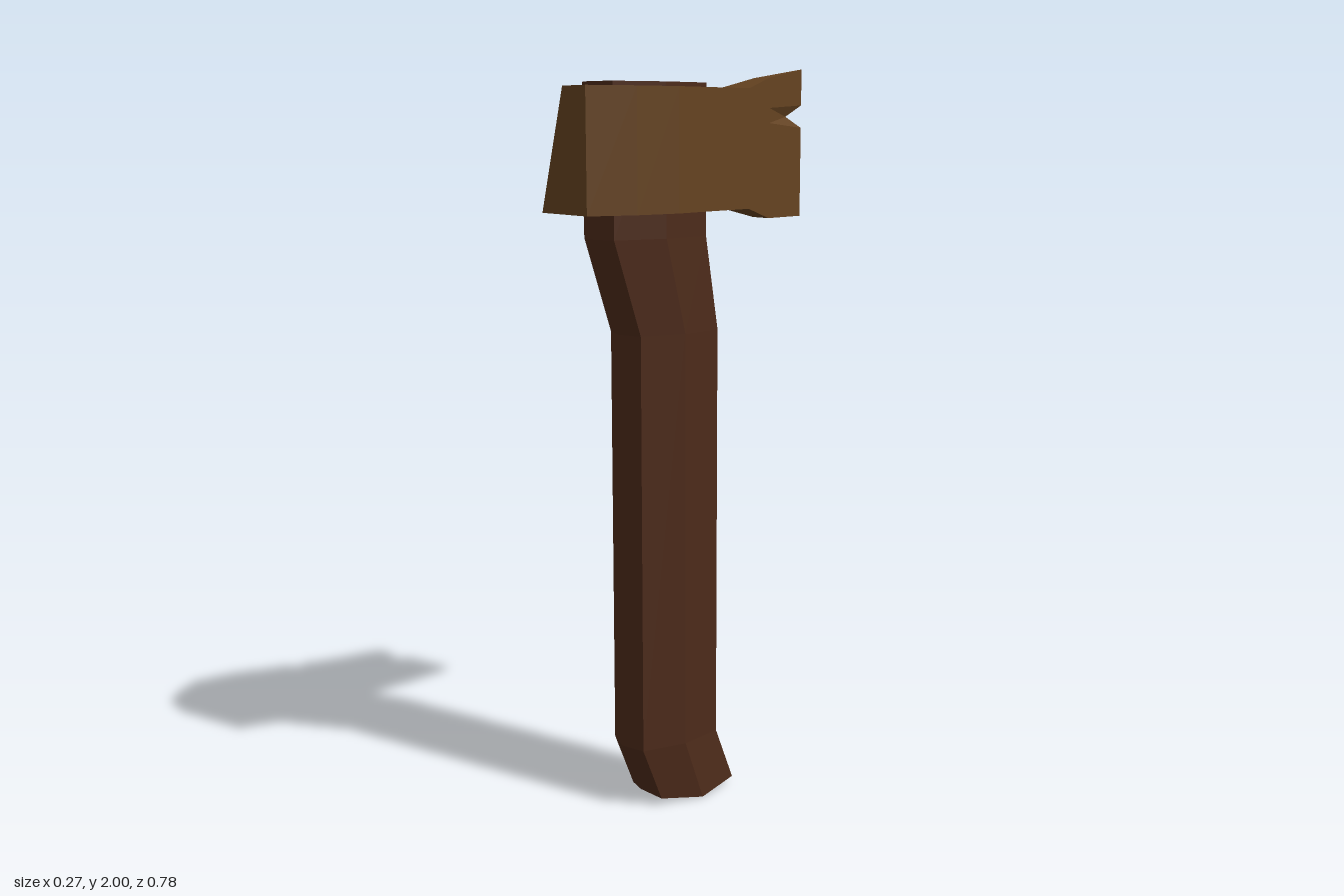
import * as THREE from 'three';

const V = (x, y, z) => [x, y, z];

// Collects flat polygons (fanned from their first corner) into one geometry
function polyBuilder() {
  const pos = [];
  return {
    add(pts, flip = false) {
      for (let i = 1; i < pts.length - 1; i++) {
        const tri = flip ? [pts[0], pts[i + 1], pts[i]] : [pts[0], pts[i], pts[i + 1]];
        tri.forEach(p => pos.push(...p));
      }
    },
    build() {
      const g = new THREE.BufferGeometry();
      g.setAttribute('position', new THREE.Float32BufferAttribute(pos, 3));
      g.computeVertexNormals();
      return g;
    },
  };
}

function headGeometry() {
  const b = polyBuilder();
  // sections from poll to cutting edge: z, half width, bottom, top
  const S = [
    [0.39, 0.103, 1.63, 1.945], [0.26, 0.135, 1.63, 1.945], [0.13, 0.135, 1.63, 1.945],
    [0, 0.102, 1.63, 1.945], [-0.15, 0.07, 1.63, 1.945], [-0.25, 0.033, 1.6, 1.975],
    [-0.392, 0, 1.6, 2],
  ];
  const bot = (i, s) => V(s * S[i][1], S[i][2], S[i][0]);
  const top = (i, s) => (i === 0 && s < 0
    ? V(-0.08, 1.945, 0.33) // chipped poll corner
    : V(s * S[i][1], S[i][3], S[i][0]));

  // nick in the upper edge of one cheek
  const n1 = V(-0.078, 1.945, -0.115), n2 = V(-0.093, 1.945, -0.04);
  const nIn = V(-0.06, 1.945, -0.075), nLow = V(-0.078, 1.87, -0.075);

  for (const s of [1, -1]) {
    const side = (...p) => b.add(p, s < 0);
    for (let i = 0; i < 5; i++) {
      if (i === 3 && s < 0) {
        side(nLow, n2, top(3, s), bot(3, s), bot(4, s), top(4, s), n1);
        side(n2, nLow, nIn);
        side(nLow, n1, nIn);
      } else side(bot(i, s), bot(i + 1, s), top(i + 1, s), top(i, s));
    }
    // bit with a notch broken out of the cutting edge
    const hi = V(s * 0.033, 1.895, -0.25), lo = V(s * 0.033, 1.855, -0.25);
    const eHi = V(0, 1.903, -0.392), eLo = V(0, 1.842, -0.392), apex = V(0, 1.872, -0.335);
    side(hi, eHi, top(6, s), top(5, s));
    side(hi, apex, eHi);
    side(lo, apex, hi);
    side(lo, eLo, apex);
    side(bot(5, s), bot(6, s), eLo, lo);
  }

  // top and underside
  for (let i = 0; i < 6; i++) {
    if (i === 0) b.add([top(1, 1), top(1, -1), top(0, -1), V(0, 1.945, 0.39), top(0, 1)]);
    else if (i === 3) b.add([nIn, n2, top(3, -1), top(3, 1), top(4, 1), top(4, -1), n1]);
    else b.add([top(i, -1), top(i, 1), top(i + 1, 1), top(i + 1, -1)]);
    b.add([bot(i, -1), bot(i, 1), bot(i + 1, 1), bot(i + 1, -1)], true);
  }
  // poll face
  b.add([bot(0, -1), bot(0, 1), top(0, 1), V(0, 1.945, 0.39), top(0, -1)]);
  return b.build();
}

function handleGeometry() {
  const b = polyBuilder();
  // eight-sided outline: x, z factor, lift of the butt end
  const ring = [
    [0.0925, 0, 0], [0.068, -0.85, 0.02], [0, -1, 0.03], [-0.068, -0.85, 0.02],
    [-0.0925, 0, 0], [-0.068, 0.85, 0.02], [0, 1, 0.03], [0.068, 0.85, 0.02],
  ];
  // levels: y, centre z, half depth
  const levels = [[0, 0.025, 0.147], [0.175, 0.085, 0.148], [1.315, 0.085, 0.148],
    [1.565, 0.145, 0.172], [1.957, 0.145, 0.172]];
  const rings = levels.map(([y, cz, d], k) =>
    ring.map(([x, f, lift]) => V(x + 0.0075, y + (k === 0 ? lift : 0), cz + f * d)));
  for (let k = 0; k < rings.length - 1; k++) {
    for (let i = 0; i < 8; i++) {
      const j = (i + 1) % 8;
      b.add([rings[k][i], rings[k][j], rings[k + 1][j], rings[k + 1][i]]);
    }
  }
  b.add(rings[4]);
  // butt end
  for (let i = 0; i < 8; i++) b.add([V(0.0075, 0.02, 0.025), rings[0][(i + 1) % 8], rings[0][i]]);
  return b.build();
}

export function createModel() {
  const group = new THREE.Group();
  group.name = 'axe';
  const part = (name, geometry, color) => {
    const mesh = new THREE.Mesh(geometry, new THREE.MeshStandardMaterial({ color, flatShading: true }));
    mesh.name = name;
    group.add(mesh);
  };
  part('axeHead', headGeometry(), 0x654321);
  part('handle', handleGeometry(), 0x4d2b1a);
  return group;
}
